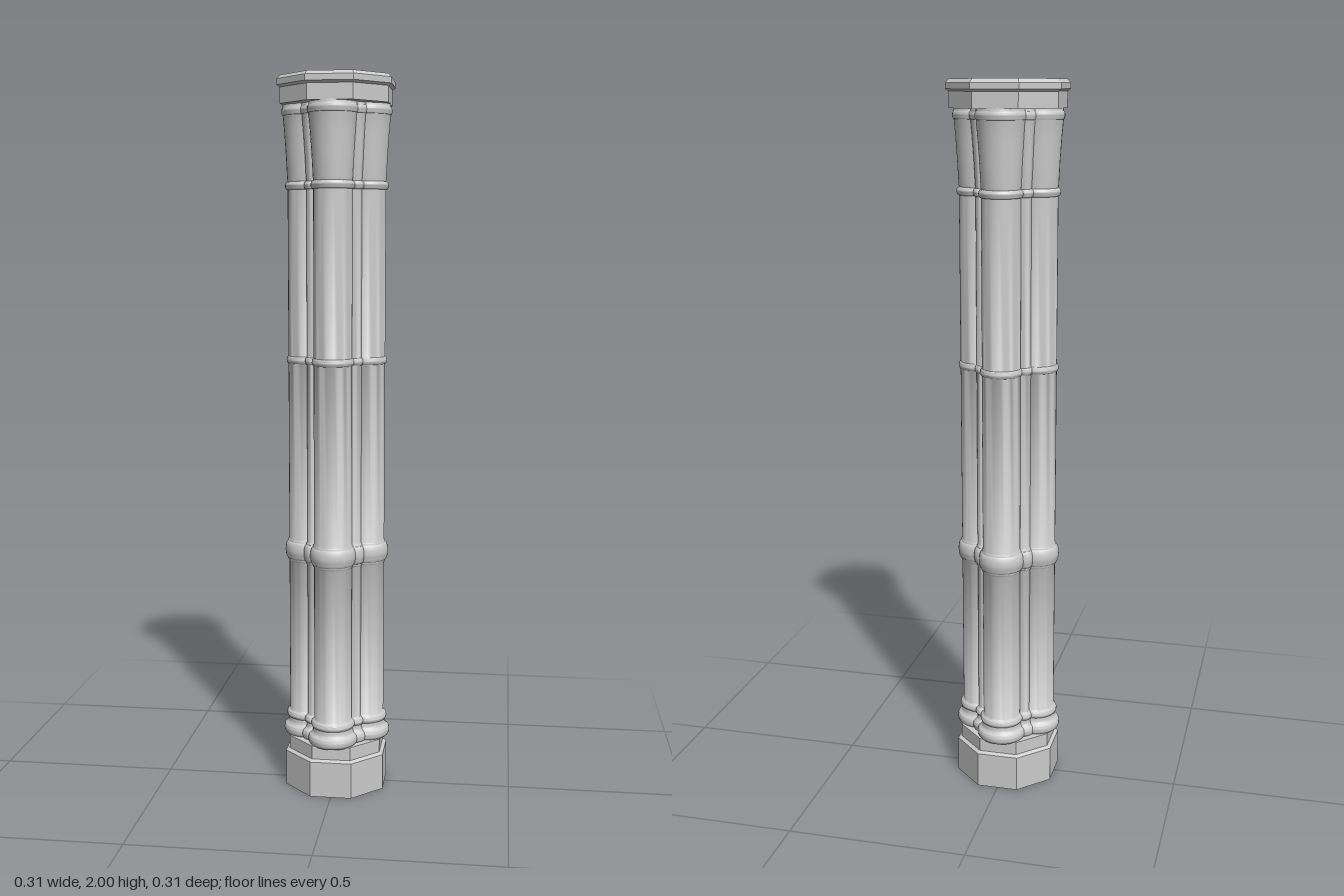
import * as THREE from 'three';
import { toCreasedNormals } from 'three/addons/utils/BufferGeometryUtils.js';

const material = new THREE.MeshStandardMaterial({ color: 0xcccccc });
const flatMaterial = new THREE.MeshStandardMaterial({ color: 0xcccccc, flatShading: true });

// Half-round moulding: points bulging out from radius r, between two heights
function bead(r, y0, y1, bulge, steps = 8) {
  const points = [];
  for (let i = 0; i <= steps; i++) {
    const t = (i / steps) * Math.PI;
    points.push([r + bulge * Math.sin(t), (y0 + y1) / 2 - Math.cos(t) * (y1 - y0) / 2]);
  }
  return points;
}

// Turned shaft with base mouldings, rings and a flared capital
function shaftGeometry(r, segments) {
  const profile = [
    [0, 0.143], [r + 0.01, 0.143],
    ...bead(r + 0.011, 0.145, 0.172, 0.006),
    [r + 0.006, 0.176], [r + 0.003, 0.184], [r + 0.004, 0.19],
    ...bead(r + 0.003, 0.192, 0.212, 0.006),
    [r, 0.216],
    [r, 0.655], [r + 0.003, 0.66],
    ...bead(r + 0.003, 0.664, 0.714, 0.008),
    [r + 0.003, 0.718], [r, 0.723],
    ...bead(r, 1.222, 1.242, 0.005),
    ...bead(r, 1.698, 1.72, 0.007),
    [r + 0.001, 1.73], [r + 0.004, 1.79], [r + 0.008, 1.85], [r + 0.012, 1.895],
    ...bead(r + 0.012, 1.897, 1.918, 0.004),
    [r + 0.012, 1.93], [0, 1.93],
  ].map(([x, y]) => new THREE.Vector2(x, y));
  return toCreasedNormals(new THREE.LatheGeometry(profile, segments), 0.7);
}

// Octagonal block from [apothem, y] pairs, with flat sides on the axes
function octagon(name, rings) {
  const k = 1 / Math.cos(Math.PI / 8);
  const points = rings.map(([a, y]) => new THREE.Vector2(a * k, y));
  const geometry = new THREE.LatheGeometry(points, 8);
  geometry.rotateY(Math.PI / 8);
  const mesh = new THREE.Mesh(geometry, flatMaterial);
  mesh.name = name;
  return mesh;
}

export function createModel() {
  const column = new THREE.Group();
  column.name = 'clusteredColumn';

  // Stepped octagonal plinth
  column.add(octagon('plinth', [
    [0, 0], [0.14, 0], [0.14, 0.102], [0.13, 0.108], [0.13, 0.146], [0, 0.146],
  ]));

  // Four large shafts on the axes, four slim ones on the diagonals
  const large = shaftGeometry(0.053, 32);
  const slim = shaftGeometry(0.02, 20);
  for (let i = 0; i < 8; i++) {
    const isLarge = i % 2 === 0;
    const shaft = new THREE.Mesh(isLarge ? large : slim, material);
    const angle = (i * Math.PI) / 4;
    const distance = isLarge ? 0.083 : 0.079;
    shaft.position.set(Math.sin(angle) * distance, 0, Math.cos(angle) * distance);
    shaft.name = isLarge ? 'largeShaft' : 'slimShaft';
    column.add(shaft);
  }

  // Octagonal abacus with a bevelled top edge
  column.add(octagon('abacus', [
    [0, 1.925], [0.147, 1.925], [0.147, 1.968], [0.155, 1.974],
    [0.155, 1.99], [0.145, 2], [0, 2],
  ]));

  return column;
}
